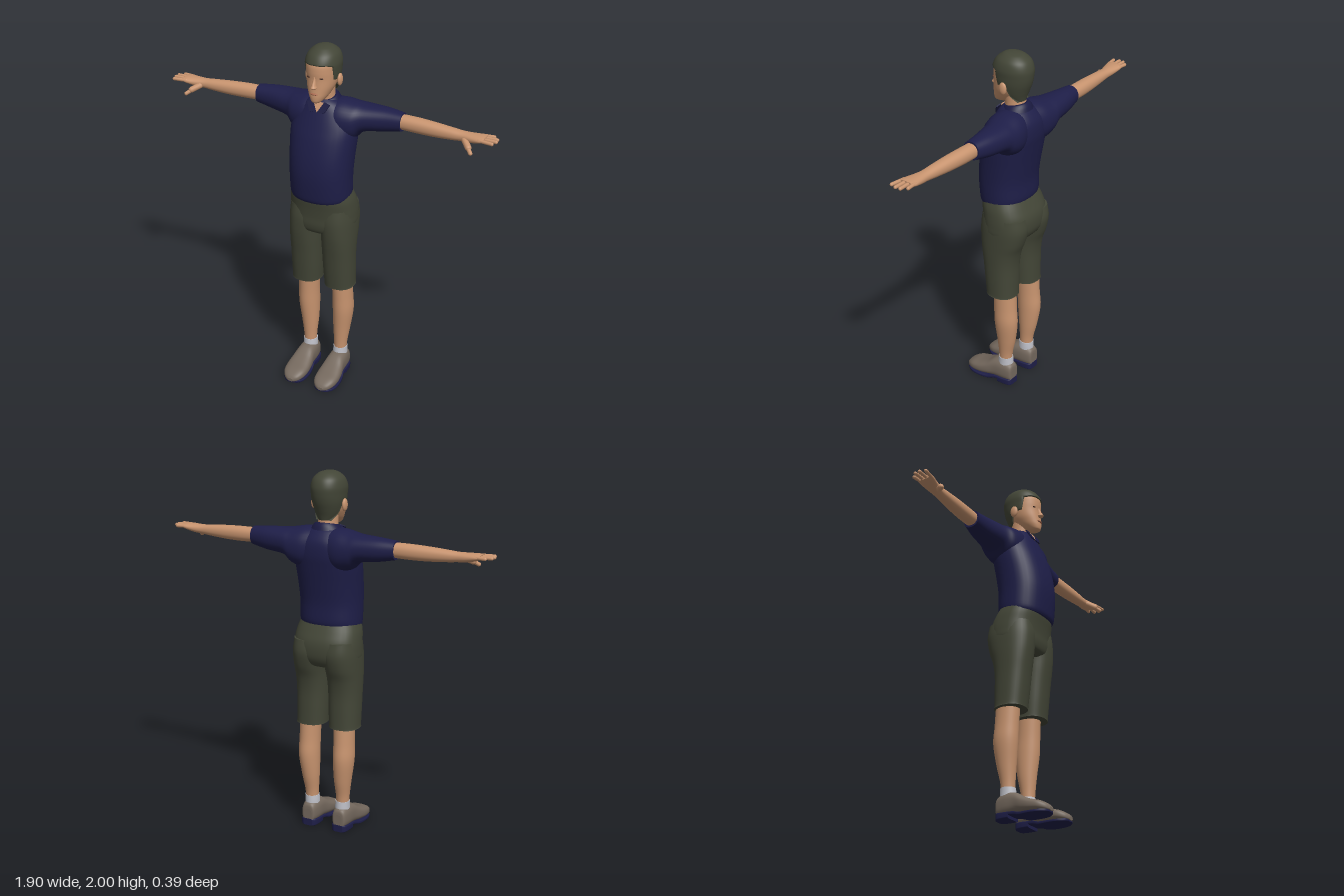
import * as THREE from 'three';

const mat = (name, color, side = THREE.FrontSide) => {
  const m = new THREE.MeshStandardMaterial({ color, side });
  m.name = name;
  return m;
};

// Skin a row of superellipse rings along an axis. Ring: [t, u0, u1, v0, v1],
// with (t,u,v) = (x,y,z), (y,z,x) or (z,x,y). Ends are capped.
function loft(axis, rings, { steps = 5, sides = 36, power = 2, warp } = {}) {
  const rows = [];
  const n = rings.length;
  for (let i = 0; i < n - 1; i++) {
    const [p, a, b, q] = [rings[Math.max(i - 1, 0)], rings[i], rings[i + 1], rings[Math.min(i + 2, n - 1)]];
    for (let s = 0; s < steps; s++) {
      const t = s / steps;
      rows.push(a.map((_, k) => a[k] + 0.5 * t * (b[k] - p[k] +
        t * (2 * p[k] - 5 * a[k] + 4 * b[k] - q[k] + t * (3 * (a[k] - b[k]) + q[k] - p[k])))));
    }
  }
  rows.push(rings[n - 1]);
  const pos = [], index = [];
  const put = (t, u, v) => {
    const p = new THREE.Vector3(...{ x: [t, u, v], y: [v, t, u], z: [u, v, t] }[axis]);
    if (warp) warp(p);
    pos.push(p.x, p.y, p.z);
  };
  const bend = (c) => Math.sign(c) * Math.abs(c) ** (2 / power);
  const ring = ([t, u0, u1, v0, v1]) => {
    for (let j = 0; j < sides; j++) {
      const a = (j / sides) * Math.PI * 2;
      put(t, (u0 + u1) / 2 + ((u1 - u0) / 2) * bend(Math.cos(a)), (v0 + v1) / 2 + ((v1 - v0) / 2) * bend(Math.sin(a)));
    }
  };
  rows.forEach(ring);
  for (let i = 0; i < rows.length - 1; i++)
    for (let j = 0; j < sides; j++) {
      const a = i * sides + j, b = i * sides + ((j + 1) % sides);
      index.push(a, b, a + sides, b, b + sides, a + sides);
    }
  for (const [r, flip] of [[rows[0], true], [rows[rows.length - 1], false]]) {
    const base = pos.length / 3;
    ring(r);
    put(r[0], (r[1] + r[2]) / 2, (r[3] + r[4]) / 2);
    for (let j = 0; j < sides; j++) {
      const a = base + j, b = base + ((j + 1) % sides);
      index.push(base + sides, flip ? b : a, flip ? a : b);
    }
  }
  const g = new THREE.BufferGeometry();
  g.setAttribute('position', new THREE.Float32BufferAttribute(pos, 3));
  g.setIndex(index);
  g.computeVertexNormals();
  return g;
}

// Upright loft centred on x = 0: [y, halfWidth, back, front]
const upright = (rows, opts) => loft('y', rows.map(([y, w, z0, z1]) => [y, z0, z1, -w, w]), opts);
// Upright loft off centre: [y, x0, x1, back, front]
const column = (rows, opts) => loft('y', rows.map(([y, x0, x1, z0, z1]) => [y, z0, z1, x0, x1]), opts);

function capsule(a, b, r) {
  const A = new THREE.Vector3(...a), B = new THREE.Vector3(...b);
  const d = B.clone().sub(A);
  const g = new THREE.CapsuleGeometry(r, d.length(), 6, 12);
  g.applyQuaternion(new THREE.Quaternion().setFromUnitVectors(new THREE.Vector3(0, 1, 0), d.normalize()));
  return g.translate(...A.add(B).multiplyScalar(0.5).toArray());
}

const blob = (x, y, z, rx, ry, rz) => new THREE.SphereGeometry(1, 20, 14).scale(rx, ry, rz).translate(x, y, z);

function mirrored(g) {
  const m = g.clone().scale(-1, 1, 1);
  const idx = m.index.array;
  for (let i = 0; i < idx.length; i += 3) [idx[i], idx[i + 1]] = [idx[i + 1], idx[i]];
  m.computeVertexNormals();
  return m;
}

export function createModel() {
  const model = new THREE.Group();
  model.name = 'standingBoy';
  const skin = mat('skin', 0xc8946f), navy = mat('navy cloth', 0x1e1e48);
  const olive = mat('dark olive', 0x434637), shoe = mat('shoe leather', 0x75695e);
  const white = mat('sock', 0xbfc0c8), dark = mat('eye brown', 0x4a3026), lip = mat('lip', 0xa8694f);
  const collarMat = mat('collar navy', 0x1b1b42, THREE.DoubleSide);

  const add = (name, g, m) => {
    const mesh = new THREE.Mesh(g, m);
    mesh.name = name;
    model.add(mesh);
  };
  const pair = (name, g, m) => {
    add(name + 'Left', g, m);
    add(name + 'Right', mirrored(g), m);
  };

  // Head and neck
  const skull = [
    [1.713, 0.014, 0.04, 0.07], [1.722, 0.03, 0.0, 0.08], [1.745, 0.048, -0.05, 0.083], [1.77, 0.061, -0.08, 0.081],
    [1.80, 0.073, -0.105, 0.078], [1.84, 0.081, -0.125, 0.075], [1.88, 0.084, -0.135, 0.077], [1.92, 0.084, -0.138, 0.072],
    [1.96, 0.07, -0.12, 0.045], [1.983, 0.045, -0.09, 0.015], [1.992, 0.015, -0.05, -0.015]];
  add('head', upright(skull, { power: 2.1 }), skin);
  add('neck', upright([[1.62, 0.06, -0.12, 0.02], [1.68, 0.056, -0.11, 0.005], [1.74, 0.053, -0.104, 0.01], [1.8, 0.055, -0.1, 0.02]]), skin);
  add('nose', upright([[1.793, 0.008, 0.07, 0.086], [1.802, 0.017, 0.06, 0.103], [1.815, 0.012, 0.06, 0.097],
    [1.84, 0.008, 0.06, 0.083], [1.86, 0.007, 0.06, 0.076]], { sides: 16 }), skin);
  add('mouth', blob(0, 1.766, 0.079, 0.022, 0.006, 0.009), lip);
  pair('eye', blob(0.034, 1.852, 0.065, 0.014, 0.0045, 0.006), dark);
  pair('ear', blob(0.092, 1.825, -0.035, 0.013, 0.034, 0.023), skin);

  // Short hair: a shell over the skull, cut back below the hairline
  const hairline = [[1.74, -0.1], [1.78, -0.065], [1.825, -0.05], [1.835, 0.008], [1.912, 0.022], [1.922, 0.09], [2.1, 0.09]];
  const cut = (y) => {
    for (let i = 1; i < hairline.length; i++) {
      const [y0, z0] = hairline[i - 1], [y1, z1] = hairline[i];
      if (y <= y1) return THREE.MathUtils.lerp(z0, z1, Math.max(0, (y - y0) / (y1 - y0)));
    }
  };
  const shell = [
    [1.745, 0.045, -0.106, 0], [1.77, 0.063, -0.113, 0.03], [1.80, 0.077, -0.124, 0.06], [1.84, 0.087, -0.138, 0.075],
    [1.88, 0.091, -0.146, 0.081], [1.92, 0.092, -0.147, 0.079], [1.96, 0.08, -0.132, 0.058],
    [1.987, 0.053, -0.1, 0.025], [1.997, 0.028, -0.07, 0.0], [2.0, 0.006, -0.04, -0.03]];
  add('hair', upright(shell, { steps: 8, sides: 56, power: 2.1, warp: (p) => { p.z = Math.min(p.z, cut(p.y)); } }), olive);

  // Shirt body, with a hem that dips at the front
  const hemDip = (p) => { if (p.y < 1.3) p.y -= (p.z + 0.02) * 0.13 * Math.min(1, (1.3 - p.y) / 0.1); };
  add('shirtBody', upright([
    [1.172, 0.166, -0.142, 0.118], [1.2, 0.17, -0.147, 0.127], [1.3, 0.172, -0.147, 0.136], [1.4, 0.177, -0.16, 0.127],
    [1.5, 0.183, -0.176, 0.103], [1.57, 0.18, -0.185, 0.078], [1.64, 0.15, -0.178, 0.05], [1.69, 0.1, -0.145, 0.028],
    [1.712, 0.062, -0.115, 0.008]], { power: 2.3, warp: hemDip }), navy);
  pair('sleeve', loft('x', [
    [0.03, 1.5, 1.705, -0.165, 0.03], [0.1, 1.48, 1.708, -0.186, 0.04], [0.17, 1.5, 1.697, -0.188, 0.025],
    [0.22, 1.543, 1.691, -0.182, -0.005], [0.33, 1.56, 1.686, -0.168, -0.035], [0.425, 1.578, 1.677, -0.147, -0.05]], { power: 2.2 }), navy);

  // Collar band sloping to the front, open neck and two points
  add('collar', upright([[1.68, 0.095, -0.14, 0.03], [1.705, 0.08, -0.13, 0.022], [1.722, 0.066, -0.118, 0.012], [1.724, 0.058, -0.112, 0.006]],
    { warp: (p) => { p.y -= (p.z + 0.06) * 0.22; } }), collarMat);
  const flat = (pts, z) => {
    const g = new THREE.ExtrudeGeometry(new THREE.Shape(pts.map(([x, y]) => new THREE.Vector2(x, y))), { depth: 0.006, bevelEnabled: false });
    return g.rotateX(-0.5).translate(0, 1.652, z);
  };
  add('openNeck', flat([[0, 0], [0.034, 0.056], [-0.034, 0.056]], 0.046), skin);
  for (const s of [1, -1]) {
    const pts = [[0.002, 0.0], [0.042, 0.0], [0.066, 0.05], [0.032, 0.06]].map(([x, y]) => [s * x, y]);
    add(s > 0 ? 'collarPointLeft' : 'collarPointRight', flat(pts, 0.048), collarMat);
  }

  // Arms, palms and fingers
  pair('arm', loft('x', [
    [0.39, 1.59, 1.668, -0.139, -0.06], [0.5, 1.587, 1.668, -0.137, -0.057], [0.6, 1.588, 1.664, -0.13, -0.054],
    [0.7, 1.594, 1.657, -0.121, -0.054], [0.76, 1.6, 1.652, -0.117, -0.054], [0.81, 1.604, 1.652, -0.121, -0.044],
    [0.86, 1.616, 1.652, -0.127, -0.033], [0.885, 1.626, 1.649, -0.125, -0.034]], { power: 2.2 }), skin);
  [[-0.115, -0.121, 0.915], [-0.092, -0.094, 0.94], [-0.068, -0.066, 0.943], [-0.044, -0.034, 0.933]].forEach(([z0, z1, x], i) =>
    pair('finger' + (i + 1), capsule([0.86, 1.637, z0], [x, 1.637, z1], 0.0095), skin));
  pair('thumbBase', capsule([0.78, 1.618, -0.06], [0.815, 1.598, -0.022], 0.017), skin);
  pair('thumb', capsule([0.81, 1.6, -0.025], [0.836, 1.58, 0.0], 0.011), skin);

  // Shorts
  add('shortsSeat', upright([
    [0.94, 0.06, -0.09, 0.05], [0.96, 0.16, -0.15, 0.078], [1.0, 0.187, -0.178, 0.09], [1.05, 0.189, -0.186, 0.092],
    [1.1, 0.186, -0.181, 0.097], [1.15, 0.179, -0.16, 0.104], [1.2, 0.163, -0.135, 0.108]], { power: 2.4 }), olive);
  pair('shortsLeg', column([
    [0.605, 0.016, 0.186, -0.129, 0.046], [0.62, 0.016, 0.184, -0.128, 0.047], [0.7, 0.012, 0.185, -0.128, 0.056], [0.8, 0.009, 0.186, -0.13, 0.067],
    [0.88, 0.006, 0.188, -0.143, 0.078], [0.95, 0.002, 0.189, -0.168, 0.086], [1.03, -0.01, 0.188, -0.185, 0.089],
    [1.1, 0.0, 0.18, -0.175, 0.08]], { power: 2.3 }), olive);

  // Lower legs and socks
  pair('leg', column([
    [0.12, 0.061, 0.131, -0.096, -0.022], [0.2, 0.06, 0.135, -0.1, -0.02], [0.3, 0.053, 0.149, -0.122, -0.012],
    [0.42, 0.05, 0.165, -0.138, 0.0], [0.52, 0.05, 0.163, -0.131, 0.004], [0.66, 0.045, 0.16, -0.125, 0.012]]), skin);
  pair('sock', column([[0.1, 0.055, 0.137, -0.104, -0.01], [0.14, 0.055, 0.136, -0.103, -0.014], [0.172, 0.057, 0.136, -0.101, -0.018]]), white);

  // Shoes, each with a heel and a thin front sole
  pair('shoe', loft('z', [
    [-0.116, 0.072, 0.12, 0.03, 0.1], [-0.108, 0.058, 0.135, 0.02, 0.128], [-0.06, 0.046, 0.145, 0.018, 0.146],
    [0, 0.042, 0.15, 0.018, 0.138], [0.05, 0.034, 0.16, 0.014, 0.108], [0.1, 0.03, 0.165, 0.01, 0.086],
    [0.15, 0.035, 0.159, 0.01, 0.07], [0.185, 0.055, 0.138, 0.01, 0.05], [0.2, 0.08, 0.113, 0.014, 0.032]], { power: 2.6 }), shoe);
  pair('heel', loft('z', [
    [-0.117, 0.068, 0.124, 0, 0.04], [-0.105, 0.053, 0.139, 0, 0.04], [-0.07, 0.046, 0.145, 0, 0.038], [-0.03, 0.046, 0.146, 0, 0.036]],
    { power: 7 }), navy);
  pair('sole', loft('z', [
    [-0.04, 0.048, 0.144, 0.018, 0.036], [0.0, 0.044, 0.148, 0.012, 0.032], [0.04, 0.036, 0.158, 0.001, 0.02], [0.1, 0.03, 0.165, 0, 0.016],
    [0.15, 0.036, 0.158, 0, 0.016], [0.183, 0.056, 0.137, 0.002, 0.018], [0.196, 0.08, 0.113, 0.006, 0.02]], { power: 6 }), navy);

  return model;
}
